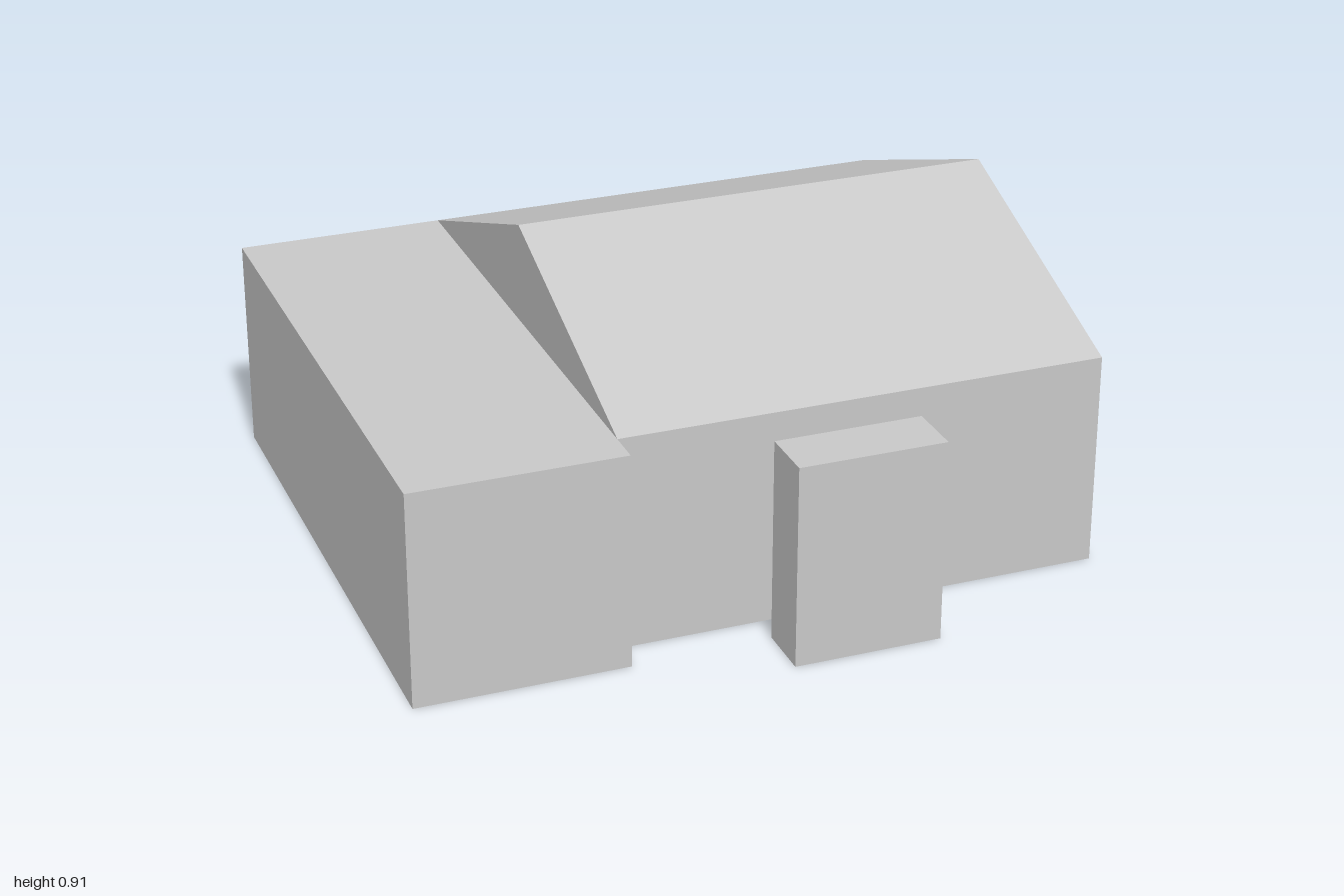
import * as THREE from 'three';

const LEFT = 1, RIGHT = -1, STEP = -0.4;              // wall positions along x
const BACK = -0.92, FRONT = 0.66, WING_FRONT = 0.76;  // wall positions along z
const EAVE = 0.62, RIDGE = 0.91, RIDGE_Z = -0.13;

// Flat convex panels, corners anticlockwise seen from outside
function panels(name, material, polygons) {
  const positions = [];
  for (const p of polygons) {
    for (let i = 1; i < p.length - 1; i++) positions.push(...p[0], ...p[i], ...p[i + 1]);
  }
  const geometry = new THREE.BufferGeometry();
  geometry.setAttribute('position', new THREE.Float32BufferAttribute(positions, 3));
  geometry.computeVertexNormals();
  const mesh = new THREE.Mesh(geometry, material);
  mesh.name = name;
  return mesh;
}

// Upright walls along a closed footprint of [x, z] points
function wallsAround(footprint, height) {
  return footprint.map(([x, z], i) => {
    const [u, w] = footprint[(i + 1) % footprint.length];
    return [[x, 0, z], [u, 0, w], [u, height, w], [x, height, z]];
  });
}

const flatTop = (x0, x1, z0, z1, y) => [[x0, y, z1], [x1, y, z1], [x1, y, z0], [x0, y, z0]];

export function createModel() {
  const grey = new THREE.MeshStandardMaterial({ color: 0xc8c8c8, side: THREE.DoubleSide });
  grey.name = 'plain grey';
  const model = new THREE.Group();
  model.name = 'house';

  // One open shell of walls around the main house and the side wing
  model.add(panels('outerWalls', grey, wallsAround([
    [RIGHT, WING_FRONT], [STEP, WING_FRONT], [STEP, FRONT],
    [LEFT, FRONT], [LEFT, BACK], [RIGHT, BACK],
  ], EAVE)));

  // Gable triangles at both ends of the pitched roof
  const gable = (x) => [[x, EAVE, FRONT], [x, EAVE, BACK], [x, RIDGE, RIDGE_Z]];
  model.add(panels('gables', grey, [gable(LEFT), gable(STEP).reverse()]));

  // Pitched roof
  model.add(panels('frontRoofSlope', grey, [
    [[STEP, EAVE, FRONT], [LEFT, EAVE, FRONT], [LEFT, RIDGE, RIDGE_Z], [STEP, RIDGE, RIDGE_Z]],
  ]));
  model.add(panels('backRoofSlope', grey, [
    [[LEFT, EAVE, BACK], [STEP, EAVE, BACK], [STEP, RIDGE, RIDGE_Z], [LEFT, RIDGE, RIDGE_Z]],
  ]));

  // Flat roof of the side wing
  model.add(panels('wingRoof', grey, [flatTop(RIGHT, STEP, BACK, WING_FRONT, EAVE)]));

  // Free-standing porch block, open underneath
  const [x0, x1, z0, z1, top] = [0, 0.42, 0.75, 0.915, 0.585];
  model.add(panels('porchBlock', grey, [
    ...wallsAround([[x0, z1], [x1, z1], [x1, z0], [x0, z0]], top),
    flatTop(x0, x1, z0, z1, top),
  ]));

  return model;
}
